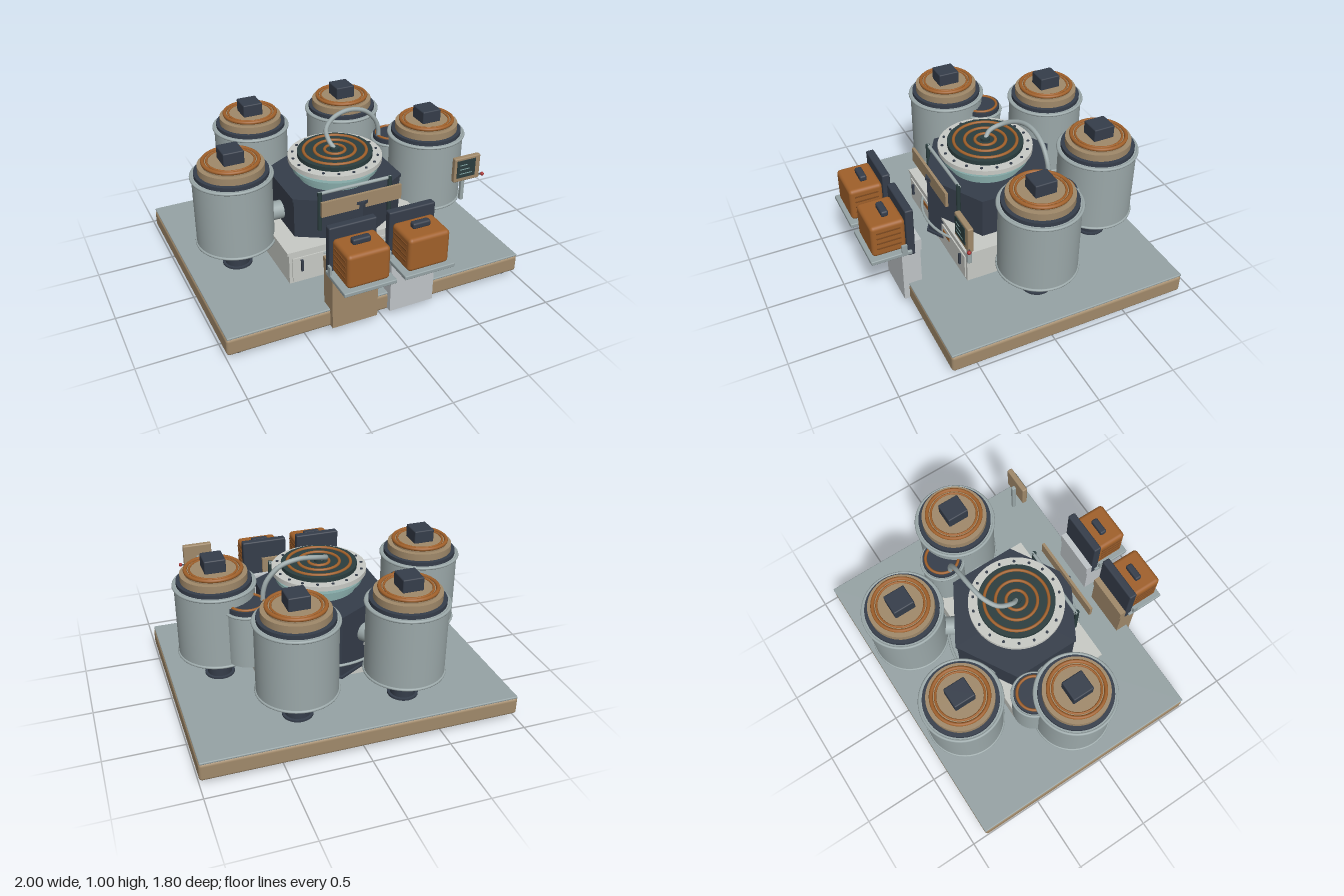
import * as THREE from 'three';
import { RoundedBoxGeometry } from 'three/addons/geometries/RoundedBoxGeometry.js';

const mat = (color, flatShading = false) => new THREE.MeshStandardMaterial({ color, flatShading });
const slate = mat(0x96a3a5), steel = mat(0x9ba8a9), tan = mat(0xa0896a), dark = mat(0x353d4a),
  darkFlat = mat(0x353d4a, true), copper = mat(0xa0602a), copperDark = mat(0x7d4a20),
  white = mat(0xc8cac5), pale = mat(0xbfc4c7), teal = mat(0x2b3d3e), mint = mat(0x86aaa8), red = mat(0xa83232);

function add(parent, name, geo, material, x = 0, y = 0, z = 0) {
  const m = new THREE.Mesh(geo, material);
  m.name = name;
  m.position.set(x, y, z);
  parent.add(m);
  return m;
}
// box given by its min and max corners, optionally rounded
function box(parent, name, material, x0, x1, y0, y1, z0, z1, r = 0) {
  const s = [x1 - x0, y1 - y0, z1 - z0];
  const geo = r ? new RoundedBoxGeometry(...s, 3, r) : new THREE.BoxGeometry(...s);
  return add(parent, name, geo, material, (x0 + x1) / 2, (y0 + y1) / 2, (z0 + z1) / 2);
}
// upright cylinder between two heights
const cyl = (parent, name, material, r, y0, y1, x = 0, z = 0, sides = 48) =>
  add(parent, name, new THREE.CylinderGeometry(r, r, y1 - y0, sides), material, x, (y0 + y1) / 2, z);
// flat lying ring
function ring(parent, name, material, r, tube, y, x = 0, z = 0) {
  const m = add(parent, name, new THREE.TorusGeometry(r, tube, 10, 56), material, x, y, z);
  m.rotation.x = Math.PI / 2;
  return m;
}
function group(parent, name, x = 0, y = 0, z = 0) {
  const g = new THREE.Group();
  g.name = name;
  g.position.set(x, y, z);
  parent.add(g);
  return g;
}
// straight pipe between two points
function pipe(parent, name, material, a, b, r) {
  const p = new THREE.Vector3(...a), q = new THREE.Vector3(...b);
  const m = add(parent, name, new THREE.CylinderGeometry(r, r, p.distanceTo(q), 24), material);
  m.position.copy(p).lerp(q, 0.5);
  m.quaternion.setFromUnitVectors(new THREE.Vector3(0, 1, 0), q.sub(p).normalize());
  return m;
}

function buildBase(root) {
  const g = group(root, 'base');
  box(g, 'plinth', tan, -1, 1, 0.035, 0.152, -0.9, 0.67, 0.02);
  box(g, 'deckPlate', slate, -0.995, 0.995, 0.15, 0.165, -0.9, 0.67, 0.006);
  box(g, 'underPanel', white, -0.47, 0.47, 0.012, 0.036, -0.34, 0.34);
  for (const sx of [-1, 1]) {
    for (const z of [-0.82, 0.6]) cyl(g, 'foot', dark, 0.036, 0.012, 0.04, sx * 0.92, z, 24);
    for (const z of [-0.25, 0.25]) cyl(g, 'panelFoot', dark, 0.03, 0, 0.02, sx * 0.38, z, 24);
  }
}

function buildTank(root, x, z) {
  const g = group(root, 'tank', x, 0, z);
  cyl(g, 'pedestal', dark, 0.078, 0.165, 0.345);
  cyl(g, 'pedestalFoot', dark, 0.095, 0.165, 0.177);
  cyl(g, 'pedestalCollar', dark, 0.09, 0.305, 0.345);
  cyl(g, 'tankBody', steel, 0.245, 0.34, 0.815);
  ring(g, 'bottomRim', steel, 0.245, 0.009, 0.35);
  ring(g, 'topRim', steel, 0.247, 0.01, 0.808);
  cyl(g, 'darkCollar', dark, 0.23, 0.8, 0.84);
  cyl(g, 'lidStep', tan, 0.205, 0.835, 0.885);
  cyl(g, 'lid', tan, 0.175, 0.88, 0.905);
  ring(g, 'outerLidRing', copper, 0.17, 0.012, 0.905);
  ring(g, 'innerLidRing', copper, 0.145, 0.007, 0.905);
  box(g, 'lidBlock', dark, -0.066, 0.066, 0.9, 0.987, -0.07, 0.07, 0.008);
}

function buildSmallTank(root, x, z) {
  const g = group(root, 'smallTank', x, 0, z);
  cyl(g, 'smallTankBody', steel, 0.135, 0.37, 0.715);
  ring(g, 'smallTankRim', steel, 0.137, 0.008, 0.71);
  cyl(g, 'smallLid', dark, 0.125, 0.71, 0.745);
  ring(g, 'smallLidRing', copper, 0.105, 0.009, 0.747);
}

function buildCabinet(root) {
  const g = group(root, 'cabinet');
  box(g, 'cabinetBody', white, -0.47, 0.47, 0.165, 0.38, -0.34, 0.335);
  box(g, 'cabinetTop', white, -0.482, 0.482, 0.375, 0.395, -0.35, 0.342);
  for (const sx of [-1, 1]) {
    const at = (name, m, x, w, y0, y1, z1) =>
      box(g, name, m, sx * x - w / 2, sx * x + w / 2, y0, y1, 0.33, z1);
    at('cabinetDoor', white, 0.24, 0.42, 0.18, 0.345, 0.343);
    at('doorHandle', dark, 0.39, 0.014, 0.25, 0.33, 0.358);
    at('controlLabel', copper, 0.17, 0.1, 0.29, 0.32, 0.347);
    at('ventSlot', dark, 0.025, 0.008, 0.19, 0.35, 0.348);
  }
}

function buildCore(root) {
  const g = group(root, 'core', 0, 0, -0.03);
  // hexagonal drum with lower flange and top plate
  const hex = (name, r, y0, y1) => cyl(g, name, darkFlat, r, y0, y1, 0, 0, 6);
  hex('hexFlange', 0.44, 0.235, 0.25);
  hex('hexDrum', 0.425, 0.245, 0.655);
  hex('hexTopPlate', 0.435, 0.65, 0.67);
  ring(g, 'guardRing', steel, 0.437, 0.009, 0.335);

  const t = group(root, 'turntable', 0, 0, -0.01);
  cyl(t, 'neck', mint, 0.235, 0.66, 0.785);
  cyl(t, 'neckFlange', mint, 0.275, 0.725, 0.745);
  cyl(t, 'whiteRing', white, 0.3, 0.777, 0.807, 0, 0, 64);
  for (let i = 0; i < 18; i++) {
    const a = (i + 0.5) / 18 * Math.PI * 2;
    cyl(t, 'ringBolt', dark, 0.009, 0.8, 0.813, Math.cos(a) * 0.272, Math.sin(a) * 0.272, 10);
  }
  cyl(t, 'hotPlate', teal, 0.24, 0.8, 0.835, 0, 0, 64);
  for (const r of [0.065, 0.13, 0.2]) ring(t, 'heatingRing', copper, r, 0.01, 0.837);
  cyl(t, 'hoseSocket', teal, 0.03, 0.83, 0.855);

  // front nameplate and rail
  box(root, 'frontPlate', tan, -0.27, 0.27, 0.62, 0.72, 0.365, 0.383);
  const rail = group(root, 'frontRail');
  pipe(rail, 'railBar', steel, [-0.25, 0.725, 0.28], [0.25, 0.725, 0.28], 0.011);
  for (const sx of [-1, 1]) cyl(rail, 'railPost', teal, 0.014, 0.47, 0.735, sx * 0.24, 0.285, 16);
}

// box on a shelf carried by a floor stand
function buildStation(root, x, standMat) {
  const g = group(root, 'frontStation', x);
  box(g, 'stand', standMat, -0.15, 0.15, 0.045, 0.42, 0.585, 0.705);
  box(g, 'standBack', standMat, -0.15, 0.15, 0.41, 0.49, 0.575, 0.62);
  box(g, 'shelf', slate, -0.167, 0.167, 0.41, 0.437, 0.64, 0.9, 0.006);
  box(g, 'backPanel', dark, -0.153, 0.153, 0.39, 0.73, 0.615, 0.667, 0.01);
  box(g, 'bin', copper, -0.135, 0.135, 0.437, 0.66, 0.66, 0.877, 0.025);
  box(g, 'binHandle', dark, -0.058, 0.058, 0.655, 0.695, 0.735, 0.78, 0.012);
  for (const sx of [-1, 1]) {
    box(g, 'shelfBracket', slate, sx * 0.16 - 0.007, sx * 0.16 + 0.007, 0.42, 0.49, 0.67, 0.705);
    for (let i = 0; i < 4; i++)
      box(g, 'binRib', copperDark, sx * 0.136 - 0.004, sx * 0.136 + 0.004,
        0.495 + i * 0.038, 0.503 + i * 0.038, 0.695, 0.845);
  }
}

function buildControlPanel(root) {
  const g = group(root, 'controlPanel');
  box(g, 'panelPost', steel, 0.675, 0.7, 0.53, 0.78, 0.405, 0.432, 0.006);
  box(g, 'panelCase', tan, 0.595, 0.78, 0.69, 0.855, 0.43, 0.465, 0.008);
  box(g, 'screen', teal, 0.612, 0.742, 0.72, 0.838, 0.46, 0.47);
  for (let i = 0; i < 3; i++)
    box(g, 'screenLine', mint, 0.63, 0.72 - i * 0.02, 0.745 + i * 0.03, 0.75 + i * 0.03, 0.465, 0.472);
  add(g, 'redButton', new THREE.SphereGeometry(0.012, 16, 12), red, 0.8, 0.712, 0.468);
  pipe(g, 'buttonStem', dark, [0.77, 0.712, 0.455], [0.8, 0.712, 0.465], 0.005);
}

export function createModel() {
  const root = new THREE.Group();
  root.name = 'processingStation';
  buildBase(root);
  buildCabinet(root);
  buildCore(root);
  for (const sx of [-1, 1]) {
    buildTank(root, sx * 0.68, -0.035);
    buildTank(root, sx * 0.34, -0.625);
    buildSmallTank(root, sx * 0.53, -0.23);
    pipe(root, 'sidePipe', steel, [sx * 0.3, 0.48, -0.03], [sx * 0.5, 0.48, -0.035], 0.06);
    pipe(root, 'rearPipe', steel, [sx * 0.13, 0.48, -0.27], [sx * 0.27, 0.48, -0.5], 0.06);
  }
  buildStation(root, -0.2, tan);
  buildStation(root, 0.187, pale);
  buildControlPanel(root);

  // arched hose from the hot plate to the small tank
  const path = new THREE.CatmullRomCurve3([
    [0, 0.84, -0.01], [-0.02, 0.88, -0.05], [0.0, 0.92, -0.14], [0.08, 0.96, -0.2],
    [0.2, 0.98, -0.225], [0.32, 0.95, -0.23], [0.4, 0.87, -0.23], [0.425, 0.8, -0.23], [0.43, 0.74, -0.23],
  ].map(p => new THREE.Vector3(...p)));
  add(root, 'hose', new THREE.TubeGeometry(path, 60, 0.015, 12), steel);
  return root;
}
